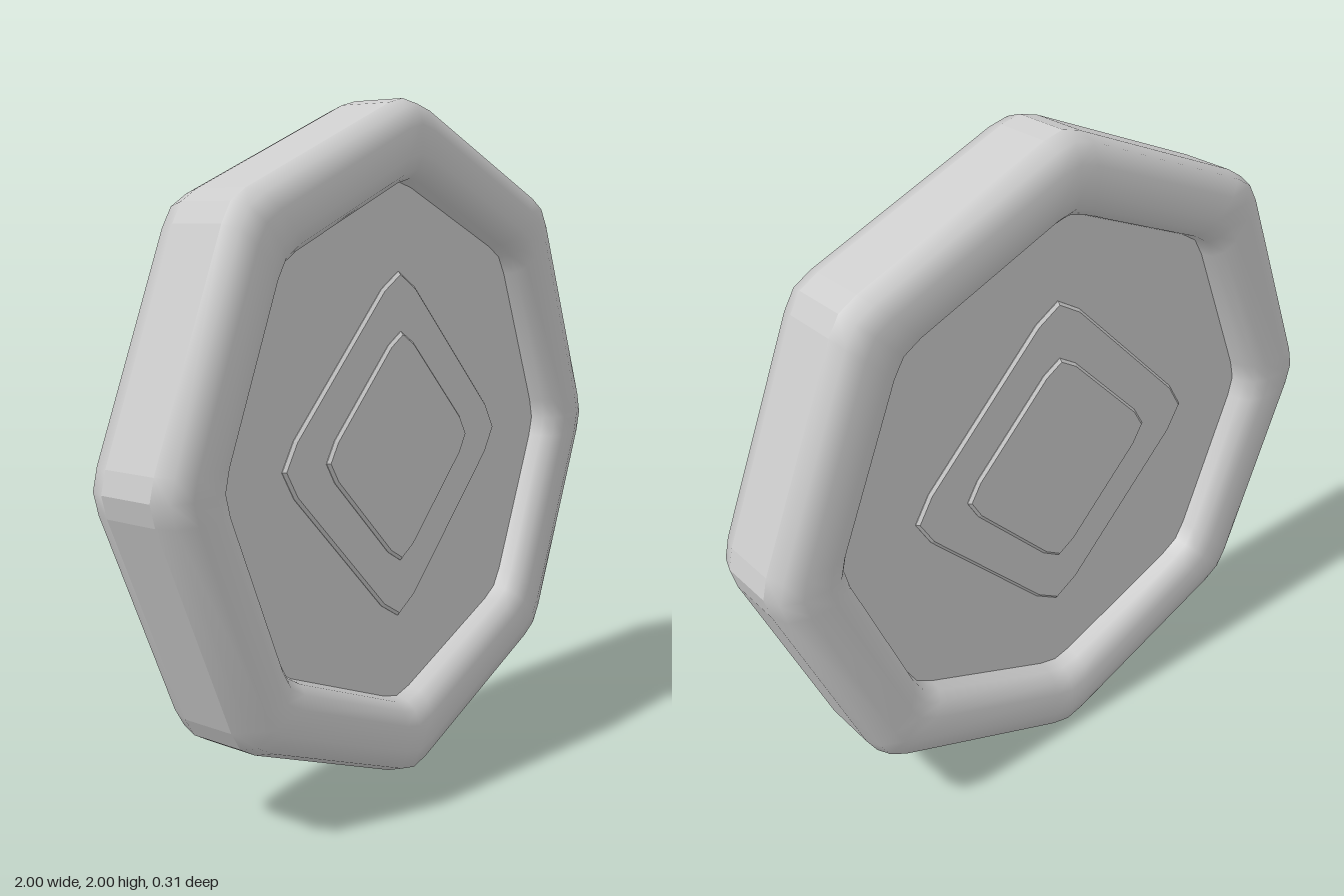
import * as THREE from 'three';
import { toCreasedNormals } from 'three/addons/utils/BufferGeometryUtils.js';

const material = new THREE.MeshStandardMaterial({ color: 0xcccccc });

// Regular n-gon with a corner at the top; each corner is eased by three points.
function outline(n, radius, cut) {
  const slope = Math.tan(Math.PI / n);
  const apex = radius + 0.4 * cut * slope;
  const points = [];
  for (let i = 0; i < n; i++) {
    const a = Math.PI / 2 + (i * 2 * Math.PI) / n;
    for (const [r, t] of [[apex - cut * slope, -cut], [radius, 0], [apex - cut * slope, cut]]) {
      points.push(new THREE.Vector2(
        r * Math.cos(a) - t * Math.sin(a),
        r * Math.sin(a) + t * Math.cos(a)));
    }
  }
  return points;
}

// Skin a list of [radius, z] octagon rings.
function loft(profile, crease) {
  const positions = [], index = [];
  let count = 0;
  for (const [radius, z] of profile) {
    const ring = outline(8, radius, 0.062);
    count = ring.length;
    for (const p of ring) positions.push(p.x, p.y, z);
  }
  for (let i = 0; i < profile.length - 1; i++) {
    for (let j = 0; j < count; j++) {
      const k = (j + 1) % count;
      const a = i * count + j, b = i * count + k;
      index.push(a, b, b + count, a, b + count, a + count);
    }
  }
  const geometry = new THREE.BufferGeometry();
  geometry.setAttribute('position', new THREE.Float32BufferAttribute(positions, 3));
  geometry.setIndex(index);
  return toCreasedNormals(geometry, crease);
}

// Plate centred on z = 0, showing on both faces, with a small edge bevel.
function plate(points, halfDepth, bevel) {
  const geometry = new THREE.ExtrudeGeometry(new THREE.Shape(points), {
    depth: 2 * (halfDepth - bevel),
    bevelEnabled: bevel > 0,
    bevelThickness: bevel,
    bevelSize: bevel,
    bevelOffset: -bevel,
    bevelSegments: 1,
  });
  return geometry.translate(0, 0, bevel - halfDepth);
}

export function createModel() {
  const model = new THREE.Group();
  model.name = 'octagonalCoin';
  const add = (name, geometry) => {
    const mesh = new THREE.Mesh(geometry, material);
    mesh.name = name;
    mesh.position.y = 1;
    model.add(mesh);
    return mesh;
  };

  // Faceted outer edge
  add('outerEdge', loft([[1, -0.085], [1, 0.085]], 0.1));

  // Rounded rim, the same on front and back
  const rim = loft([
    [1, 0.085], [0.982, 0.136], [0.925, 0.157], [0.845, 0.157],
    [0.802, 0.142], [0.777, 0.112], [0.767, 0.06],
  ], 1.0);
  add('frontRim', rim);
  add('backRim', rim).rotation.y = Math.PI;

  // Sunken face and two stepped diamonds
  add('face', plate(outline(8, 0.775, 0.062), 0.07, 0));
  add('outerDiamond', plate(outline(4, 0.515, 0.08), 0.08, 0.008));
  add('innerDiamond', plate(outline(4, 0.342, 0.06), 0.09, 0.008));

  return model;
}
